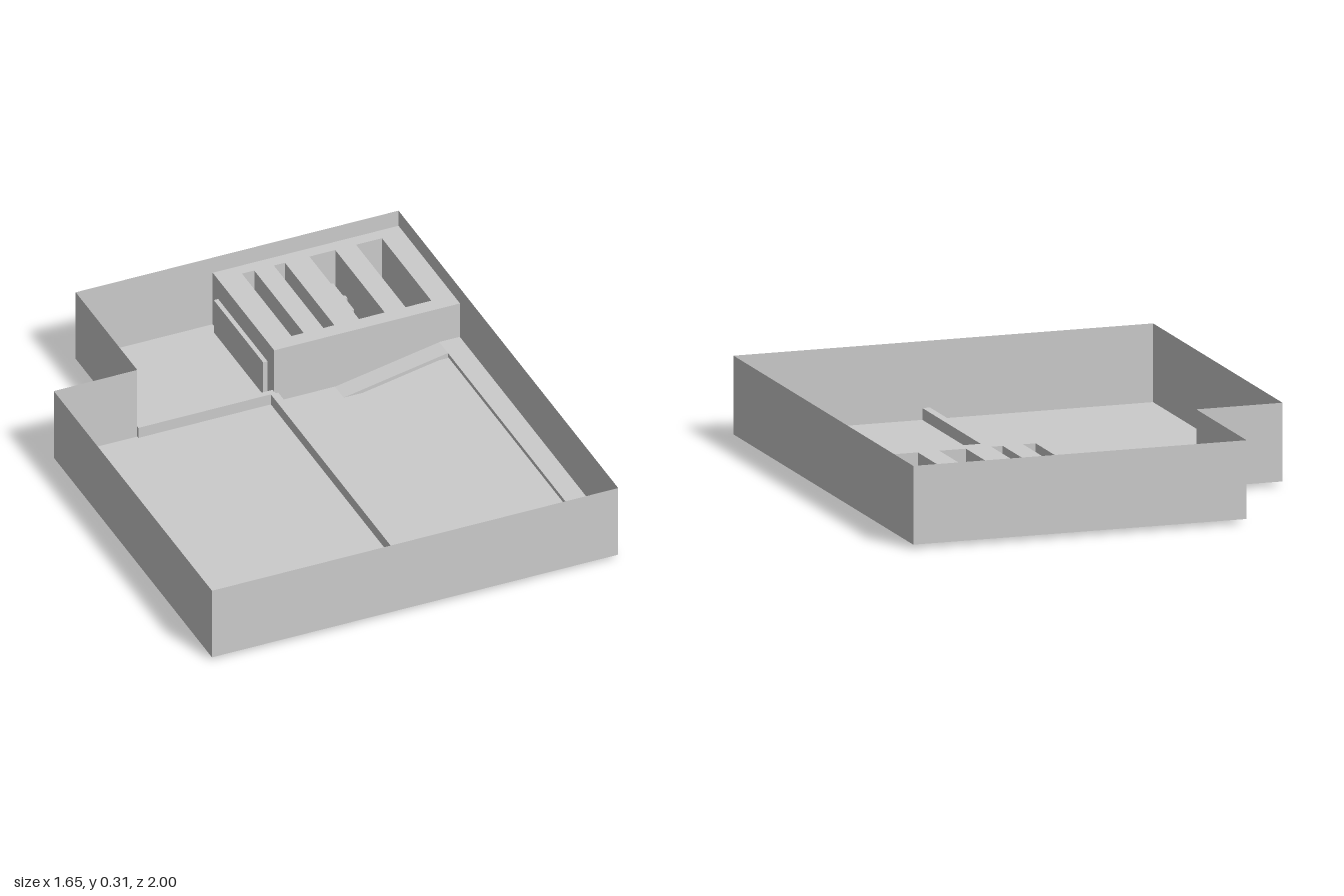
import * as THREE from 'three';

const FLOOR = 0.015, WALL_TOP = 0.315, BLOCK_TOP = 0.247;

export function createModel() {
  const model = new THREE.Group();
  const solid = new THREE.MeshStandardMaterial({ color: 0xcccccc, flatShading: true });
  const sheet = new THREE.MeshStandardMaterial({ color: 0xcccccc, flatShading: true, side: THREE.DoubleSide });

  const add = (name, geometry, material = solid) => {
    const mesh = new THREE.Mesh(geometry, material);
    mesh.name = name;
    model.add(mesh);
    return mesh;
  };
  // Box given by its limits on each axis
  const box = (name, x0, x1, y0, y1, z0, z1) =>
    add(name, new THREE.BoxGeometry(x1 - x0, y1 - y0, z1 - z0))
      .position.set((x0 + x1) / 2, (y0 + y1) / 2, (z0 + z1) / 2);
  // Rectangle in plan, with shape y = -z
  const rect = (Type, x0, x1, z0, z1) =>
    new Type([[x0, z0], [x0, z1], [x1, z1], [x1, z0]].map(([x, z]) => new THREE.Vector2(x, -z)));

  // Stepped outline of the building, as x and z
  const outline = [[-0.83, 1], [0.825, 1], [0.825, -1], [-0.49, -1], [-0.49, -0.44], [-0.83, -0.44]];

  // Floor slab
  const plan = new THREE.Shape(outline.map(([x, z]) => new THREE.Vector2(x, -z)));
  const floor = add('floor', new THREE.ShapeGeometry(plan), sheet);
  floor.rotation.x = -Math.PI / 2;
  floor.position.y = FLOOR;

  // Thin outer walls, one for each side of the outline
  outline.forEach(([x0, z0], i) => {
    const [x1, z1] = outline[(i + 1) % outline.length];
    const wall = add('outerWall', new THREE.PlaneGeometry(Math.hypot(x1 - x0, z1 - z0), WALL_TOP - FLOOR), sheet);
    wall.position.set((x0 + x1) / 2, (FLOOR + WALL_TOP) / 2, (z0 + z1) / 2);
    wall.rotation.y = Math.atan2(z0 - z1, x1 - x0);
  });

  // Low dividing kerbs
  box('longKerb', 0.05, 0.08, FLOOR, 0.06, -0.43, 1);
  box('crossKerb', -0.49, 0.07, FLOOR, 0.06, -0.455, -0.43);

  // Corner block with four open slots
  const block = rect(THREE.Shape, 0.068, 0.825, -1, -0.44);
  for (const [x0, x1] of [[0.165, 0.215], [0.295, 0.34], [0.44, 0.545], [0.63, 0.735]]) {
    block.holes.push(rect(THREE.Path, x0, x1, -0.95, -0.5));
  }
  const blockMesh = add('slottedBlock', new THREE.ExtrudeGeometry(block, { depth: BLOCK_TOP - FLOOR, bevelEnabled: false }));
  blockMesh.rotation.x = -Math.PI / 2;
  blockMesh.position.y = FLOOR;

  // Panel on the block's side and fittings inside the slots
  box('sidePanel', 0.05, 0.068, FLOOR, 0.16, -0.95, -0.5);
  box('slotLedge', 0.44, 0.465, FLOOR, 0.22, -0.79, -0.6);
  box('slotCrossbar', 0.44, 0.545, FLOOR, 0.1, -0.86, -0.84);
  box('slotFloorBlock', 0.63, 0.71, FLOOR, 0.08, -0.94, -0.58);

  // Raised walkway along the side wall
  box('walkway', 0.74, 0.824, 0.08, 0.097, -0.44, 0.999);

  // Sloping ramp that leads up to the walkway
  const profile = new THREE.Shape([[0.31, 0.014], [0.315, 0], [0.74, 0.082], [0.74, 0.097]]
    .map(([x, y]) => new THREE.Vector2(x, y)));
  const ramp = add('ramp', new THREE.ExtrudeGeometry(profile, { depth: 0.079, bevelEnabled: false }));
  ramp.position.z = -0.439;

  return model;
}
